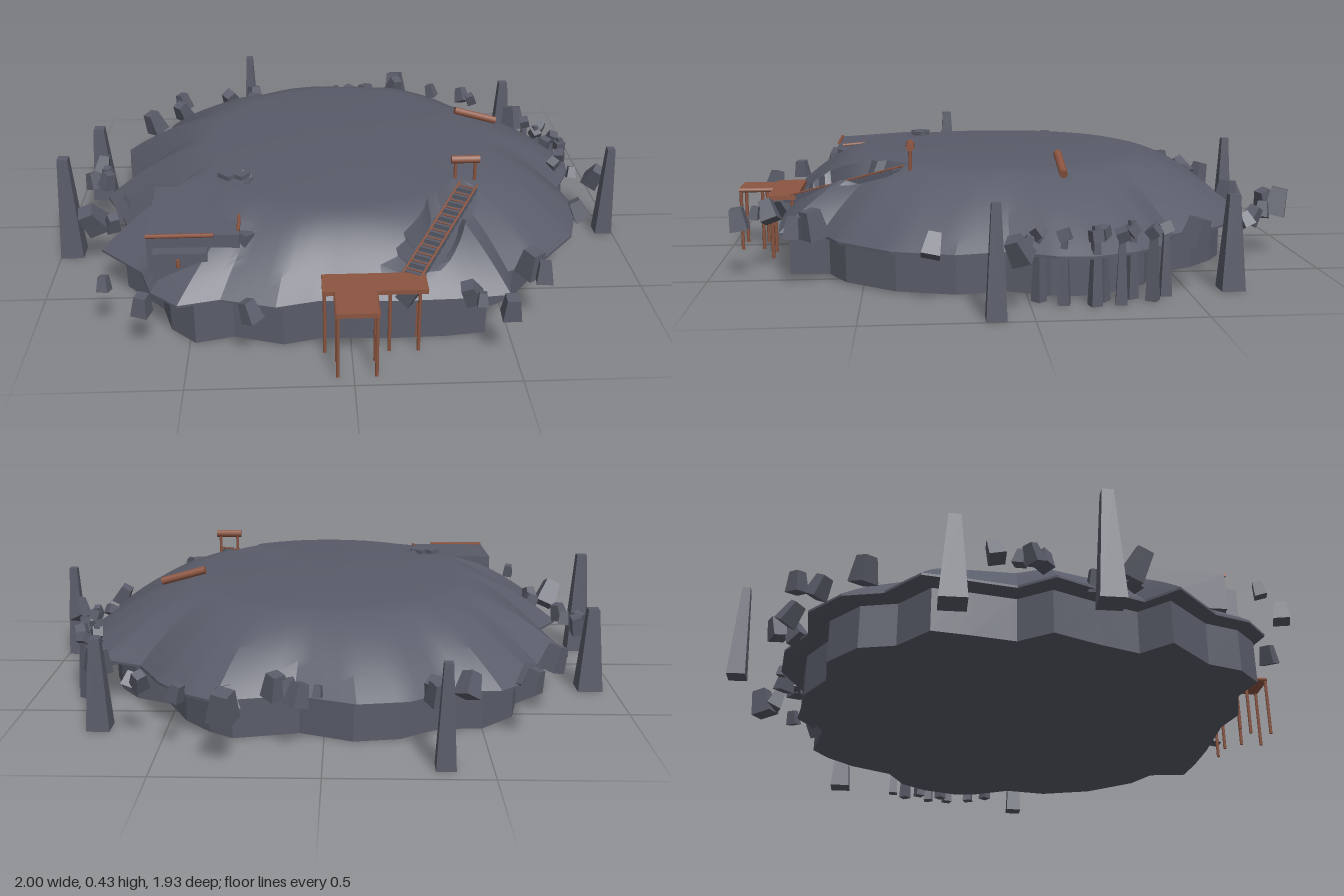
import * as THREE from 'three';
import { toCreasedNormals } from 'three/addons/utils/BufferGeometryUtils.js';

// Shoreline control points (x, z), running from +x towards +z
const SHORE = [
  [.87, -.08], [.8, .06], [.83, .22], [.77, .41], [.63, .575], [.51, .635], [.495, .77], [.35, .785], [.17, .79],
  [-.1, .78], [-.23, .81], [-.4, .76], [-.53, .79], [-.62, .71], [-.66, .59], [-.81, .44], [-.72, .35], [-.77, .22],
  [-.845, .06], [-.77, -.05], [-.8, -.21], [-.82, -.34], [-.7, -.45], [-.67, -.58], [-.55, -.69], [-.4, -.7],
  [-.26, -.79], [-.1, -.815], [.09, -.745], [.33, -.795], [.42, -.74], [.52, -.64], [.61, -.48], [.75, -.42],
  [.83, -.32], [.88, -.18],
];
const STAIR_LOW = new THREE.Vector3(.17, .212, .78);
const STAIR_TOP = new THREE.Vector3(.41, .347, .39);

let seed = 7;
const rand = () => (seed = (seed * 16807) % 2147483647) / 2147483647;
const spread = (a) => (rand() - .5) * 2 * a;

// Joins closed loops of equal length into one skin, listed from the bottom up
function loft(loops, crease) {
  const n = loops[0].length, index = [];
  for (let r = 0; r < loops.length - 1; r++) {
    for (let i = 0; i < n; i++) {
      const a = r * n + i, b = r * n + (i + 1) % n;
      index.push(a, a + n, b, b, a + n, b + n);
    }
  }
  const g = new THREE.BufferGeometry().setFromPoints(loops.flat());
  g.setIndex(index);
  return toCreasedNormals(g, crease);
}

export function createModel() {
  const group = new THREE.Group();
  const stone = new THREE.MeshStandardMaterial({ color: 0x595c69 });
  stone.name = 'slate stone';
  const wood = new THREE.MeshStandardMaterial({ color: 0x8c5541 });
  wood.name = 'reddish wood';

  function add(name, geometry, material, x = 0, y = 0, z = 0) {
    const m = new THREE.Mesh(geometry, material);
    m.name = name;
    m.position.set(x, y, z);
    group.add(m);
    return m;
  }
  const box = (name, mat, w, h, d, x, y, z) => add(name, new THREE.BoxGeometry(w, h, d), mat, x, y, z);
  // Round bar between two points
  function bar(name, a, b, r, mat, sides = 6) {
    const g = new THREE.CylinderGeometry(r, r, a.distanceTo(b), sides);
    const m = add(name, g, mat);
    m.position.lerpVectors(a, b, .5);
    m.quaternion.setFromUnitVectors(new THREE.Vector3(0, 1, 0), b.clone().sub(a).normalize());
    return m;
  }
  const V = (x, y, z) => new THREE.Vector3(x, y, z);
  // Four-sided tapered pillar standing at y
  function pillar(name, x, y, z, h, w, topW, turn = 0) {
    const g = new THREE.CylinderGeometry(topW * Math.SQRT1_2, w * Math.SQRT1_2, h, 4).rotateY(Math.PI / 4);
    const m = add(name, toCreasedNormals(g, .3), stone, x, y + h / 2, z);
    m.rotation.y = turn;
    return m;
  }

  // Cliff base: zigzag walls set in from the shore
  const foot = (y, k) => SHORE.map(([x, z]) => V(x * (x < 0 ? .91 : .86) * k, y, z * (z < 0 ? .905 : .97) * k));
  add('cliffBase', loft([foot(0, 0), foot(0, 1), foot(.147, 1)], .2), stone);

  // Domed cap: round plateau blending out to the ragged shore, with a stair trench
  const STEPS = 4, rim = [];
  SHORE.forEach(([x, z], i) => {
    const [nx, nz] = SHORE[(i + 1) % SHORE.length];
    for (let s = 0; s < STEPS; s++) rim.push(V(x, 0, z).lerp(V(nx, 0, nz), s / STEPS));
  });
  const run = STAIR_TOP.clone().sub(STAIR_LOW).setY(0), runLength = run.length();
  const dir = run.clone().normalize();
  const ring = (t) => rim.map((p) => {
    const front = Math.max(0, p.z / p.length());
    const q = p.clone().setLength(.46 + .07 * front).lerp(p, t);
    q.y = .153 + .199 * (1 - Math.pow(t, 1.6));
    const dx = q.x - STAIR_LOW.x, dz = q.z - STAIR_LOW.z;
    const along = (dx * dir.x + dz * dir.z) / runLength;
    const side = Math.abs(dx * dir.z - dz * dir.x);
    if (along > -.1 && along < 1 && side < .06) {
      q.y = Math.min(q.y, STAIR_LOW.y + along * (STAIR_TOP.y - STAIR_LOW.y) - .022);
    }
    return q;
  });
  const flat = (y, k) => rim.map((p) => V(p.x * k, y, p.z * k));
  const loops = [flat(.145, 0), flat(.145, 1)];
  for (let i = 0; i <= 14; i++) loops.push(ring(1 - i / 14));
  loops.push(flat(.352, 0));
  add('islandCap', loft(loops, .3), stone);

  // Stairway: two rails, rungs and stone treads
  const across = V(dir.z, 0, -dir.x);
  for (const s of [-1, 1]) {
    const off = across.clone().multiplyScalar(.03 * s);
    bar('stairRail', STAIR_LOW.clone().add(off), STAIR_TOP.clone().add(off), .004, wood);
  }
  for (let i = 0; i < 13; i++) {
    const p = STAIR_LOW.clone().lerp(STAIR_TOP, (i + .5) / 13);
    const off = across.clone().multiplyScalar(.032);
    bar('stairRung', p.clone().sub(off), p.clone().add(off), .003, wood);
    box('stairTread', stone, .066, .02, .03, p.x, p.y - .012, p.z).rotation.y = Math.atan2(dir.x, dir.z);
  }

  // Gate bar at the head of the stairs
  bar('gateBar', V(.355, .417, .35), V(.45, .417, .35), .014, wood, 8);
  for (const x of [.37, .436]) bar('gatePost', V(x, .33, .35), V(x, .415, .35), .006, wood);

  // Tilted log on the plateau
  bar('tiltedLog', V(.435, .39, -.13), V(.59, .347, -.13), .014, wood, 8);

  // T-shaped jetty on thin posts
  box('jettyDeck', wood, .32, .015, .1, .07, .216, .79);
  box('jettyWalk', wood, .12, .015, .12, .01, .216, .9);
  for (const x of [-.05, .07]) bar('jettyEdgeBeam', V(x, .216, .84), V(x, .216, .96), .008, wood);
  const posts = [[-.083, .83], [-.083, .75], [.115, .83], [.205, .83], [.205, .76],
    [-.048, .955], [.068, .955], [-.048, .88], [.068, .88]];
  for (const [x, z] of posts) bar('jettyPost', V(x, 0, z), V(x, .21, z), .006, wood);

  // Stone terrace with a gently tilted top, banked by rough stones
  const terrace = new THREE.BoxGeometry(.29, .13, .3);
  const tp = terrace.attributes.position;
  for (let i = 0; i < tp.count; i++) {
    if (tp.getY(i) > 0) tp.setY(i, tp.getZ(i) > 0 ? .062 : .08);
  }
  terrace.computeVertexNormals();
  add('terrace', terrace, stone, -.485, .25, .49);
  box('terraceStep', stone, .17, .1, .04, -.525, .22, .66);
  bar('terraceFrontBeam', V(-.63, .313, .642), V(-.42, .313, .642), .007, wood);
  bar('terraceSideBeam', V(-.345, .315, .62), V(-.345, .33, .43), .006, wood);
  bar('terracePost', V(-.53, .225, .682), V(-.53, .252, .682), .007, wood);
  for (let i = 0; i < 9; i++) {
    const m = box('terraceEdgeStone', stone, .04, .05, .04, -.33 + spread(.008), .335 - i * .007, .31 + i * .038);
    m.rotation.set(spread(.5), spread(1), spread(.4));
  }
  for (const x of [-.35, -.39]) box('terraceBackStone', stone, .055, .04, .045, x, .347, .315).rotation.y = x * 2;

  // Standing towers around the island: x, z, height, foot width
  const towers = [[-.36, -.92, .325, .06], [.715, -.64, .3, .075], [-.915, -.25, .29, .085],
    [-.96, .195, .375, .08], [.967, .11, .335, .06]];
  for (const [x, z, h, w] of towers) pillar('tower', x, 0, z, h, w, w * .45);

  // Slender columns below the right-hand overhang, each ending in a small knob
  const columns = [[.77, -.42], [.82, -.37], [.79, -.31], [.85, -.27], [.81, -.22], [.86, -.19], [.84, -.1], [.8, -.03]];
  columns.forEach(([x, z], i) => {
    pillar('slenderColumn', x, 0, z, .2 + (i % 3) * .02, .035, .018, i);
    box('columnKnob', stone, .035, .035, .035, x, .21, z).rotation.set(.4, i, .3);
  });

  // Boulders around the shore: x, z, size
  const boulders = [
    [.285, -.925, .08], [.28, -.88, .06], [.435, -.825, .045], [.56, -.75, .05], [.595, -.72, .04], [.74, -.52, .075],
    [.075, -.82, .06], [.145, -.785, .065], [.1, -.79, .05], [.015, -.83, .03], [-.34, -.81, .06], [-.44, -.755, .065],
    [-.34, -.75, .065], [-.64, -.72, .055], [-.64, -.65, .06], [-.74, -.51, .07], [-.89, -.13, .055], [-.91, -.02, .05],
    [-.86, -.05, .04], [-.85, .02, .05], [-.77, .19, .06], [-.86, .3, .08], [-.79, .31, .05], [-.76, .7, .04],
    [-.63, .815, .055], [-.305, .88, .055], [.18, .79, .055], [.36, .82, .06], [.47, .9, .06], [.39, .86, .035],
    [.58, .655, .075], [.61, .71, .055], [.82, .285, .06], [.94, .045, .065], [.86, .01, .035],
  ];
  for (const [x, z, s] of boulders) {
    const m = pillar('boulder', x, .19 - s * .6 + spread(.012), z, s * 1.2, s * .95, s * .65);
    m.rotation.set(spread(.5), rand() * 6.28, spread(.5));
  }
  return group;
}
